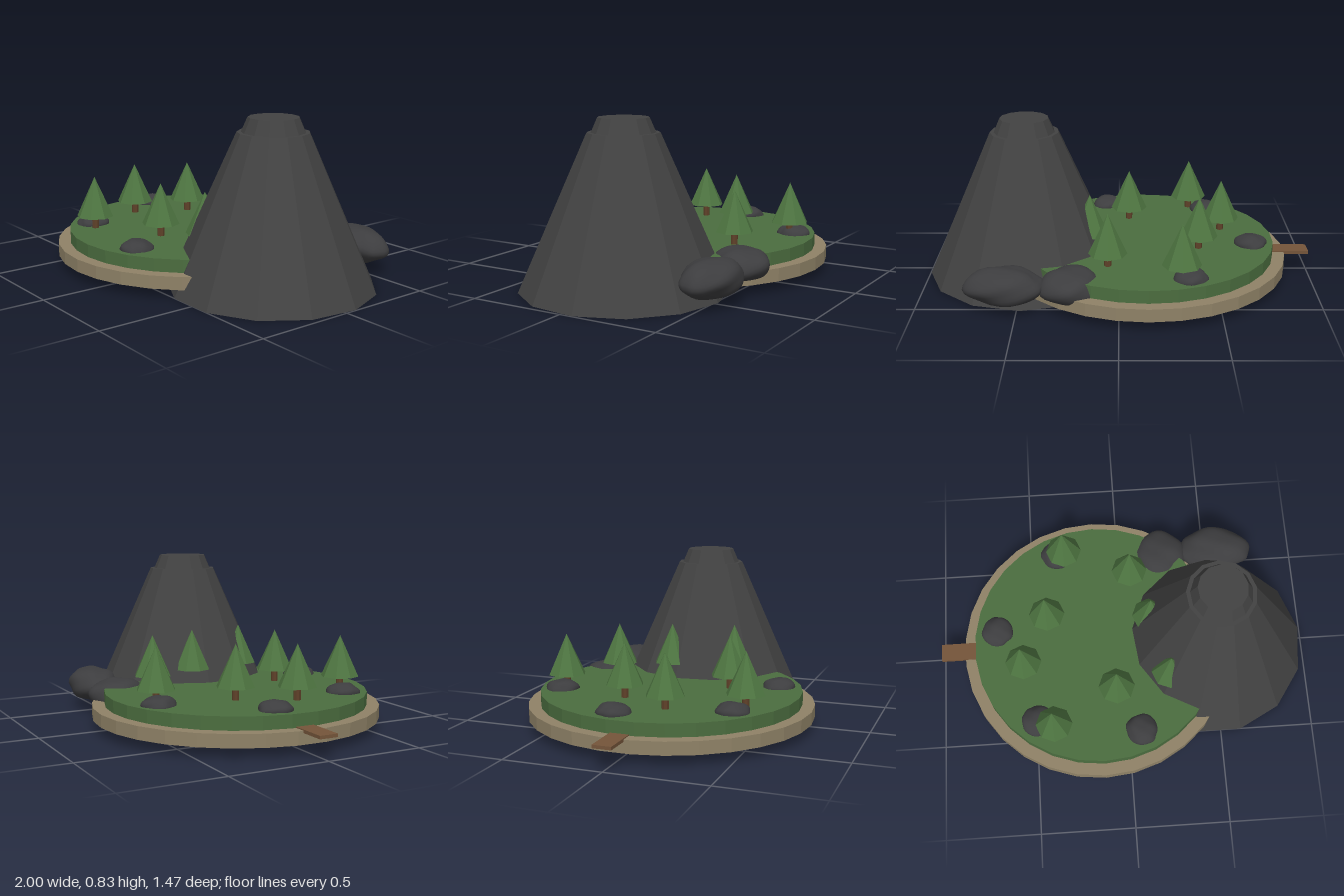
import * as THREE from 'three';
import { mergeVertices } from 'three/addons/utils/BufferGeometryUtils.js';

const mat = (name, color, flatShading = true) => {
  const m = new THREE.MeshStandardMaterial({ color, flatShading });
  m.name = name;
  return m;
};

export function createModel() {
  const sand = mat('sand', 0x8f8267);
  const grass = mat('grass', 0x4b6d3f);
  const foliage = mat('foliage', 0x4e7541);
  const bark = mat('bark', 0x5f4129);
  const plank = mat('plank', 0x75553a);
  const basalt = mat('basalt', 0x424242);
  const stone = mat('stone', 0x3d3d3f, false);

  const root = new THREE.Group();
  root.name = 'volcanoIsland';

  const add = (parent, name, geometry, material, x, y, z) => {
    const mesh = new THREE.Mesh(geometry, material);
    mesh.name = name;
    mesh.position.set(x, y, z);
    parent.add(mesh);
    return mesh;
  };
  // Tapered prism standing on y0, first corner facing the back
  const frustum = (name, material, rTop, rBottom, y0, y1, sides, x) =>
    add(root, name, new THREE.CylinderGeometry(rTop, rBottom, y1 - y0, sides, 1, false, Math.PI),
      material, x, (y0 + y1) / 2, 0);

  // Island layers
  frustum('beach', sand, 0.733, 0.733, 0.05, 0.115, 30, -0.14);
  frustum('meadow', grass, 0.67, 0.67, 0.114, 0.18, 30, -0.14);

  // Volcano with a narrower collar on top
  frustum('volcanoCone', basalt, 0.177, 0.516, 0, 0.763, 13, 0.484);
  frustum('volcanoCollar', basalt, 0.125, 0.157, 0.762, 0.835, 13, 0.484);

  // Jetty
  add(root, 'jetty', new THREE.BoxGeometry(0.24, 0.016, 0.094), plank, -0.88, 0.112, -0.002);

  // Trees
  const crown = new THREE.ConeGeometry(0.097, 0.21, 8);
  const trunk = new THREE.CylinderGeometry(0.018, 0.018, 0.08, 8);
  const trees = [
    [-0.302, -0.515], [0.055, -0.375], [-0.41, -0.145], [0.15, -0.105],
    [-0.545, 0.12], [-0.055, 0.285], [0.232, 0.22], [-0.395, 0.47],
  ];
  trees.forEach(([x, z]) => {
    const tree = new THREE.Group();
    tree.name = 'tree';
    tree.position.set(x, 0.175, z);
    add(tree, 'treeTrunk', trunk, bark, 0, 0.04, 0);
    add(tree, 'treeCrown', crown, foliage, 0, 0.175, 0);
    root.add(tree);
  });

  // Lumpy rock: a sphere pushed in and out by overlapping waves
  const rockGeometry = (seed, rx, ry, rz) => {
    let g = new THREE.IcosahedronGeometry(1, 5);
    g.deleteAttribute('normal');
    g.deleteAttribute('uv');
    g = mergeVertices(g, 1e-4);
    const p = g.attributes.position;
    const v = new THREE.Vector3();
    for (let i = 0; i < p.count; i++) {
      v.fromBufferAttribute(p, i);
      const wave = Math.sin(v.x * 3.1 + seed) * Math.cos(v.z * 3.7 + seed * 2)
        + 0.6 * Math.sin(v.y * 5 + v.x * 4 + seed * 3)
        + 0.4 * Math.cos(v.z * 8 - v.x * 5 + seed);
      v.multiplyScalar(0.97 + 0.055 * wave);
      p.setXYZ(i, v.x * rx, v.y * ry, v.z * rz);
    }
    g.computeVertexNormals();
    return g;
  };

  // Small rocks half sunk in the meadow
  [[-0.687, -0.085], [-0.345, -0.52], [-0.487, 0.432], [0.065, 0.515]].forEach(([x, z], i) =>
    add(root, 'rock', rockGeometry(i + 1, 0.085, 0.05, 0.087), stone, x, 0.178, z));

  // Boulders leaning on the back of the volcano
  add(root, 'largeBoulder', rockGeometry(6, 0.2, 0.092, 0.13), stone, 0.555, 0.138, -0.52);
  add(root, 'smallBoulder', rockGeometry(8.3, 0.155, 0.088, 0.147), stone, 0.235, 0.13, -0.5);

  return root;
}
